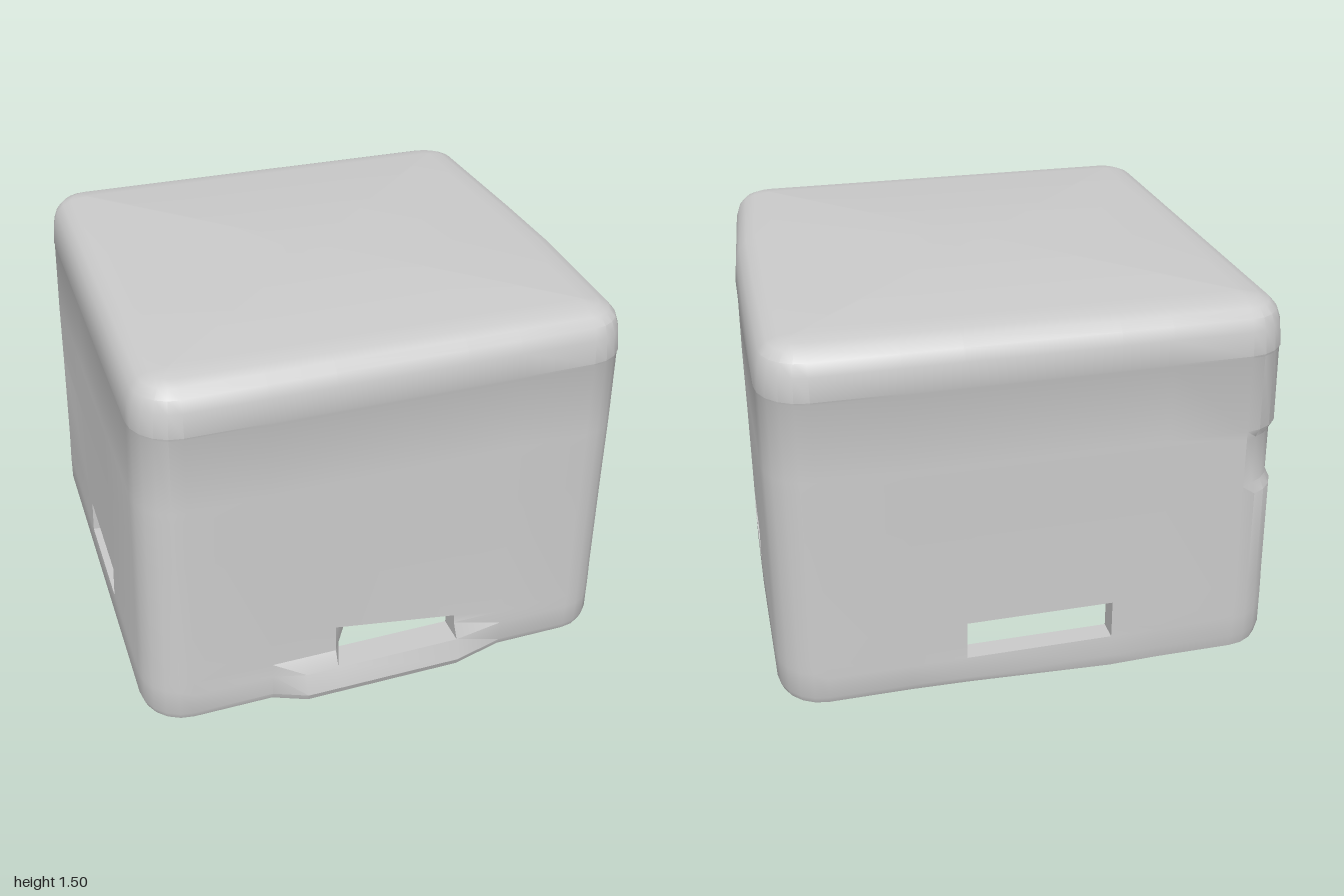
import * as THREE from 'three';
import { toCreasedNormals } from 'three/addons/utils/BufferGeometryUtils.js';

const HX = 0.995, HZ = 0.96, CZ = -0.025, R = 0.18; // half sizes, z centre, corner radius
const HOLE_TOP = 0.31, HOLE_MID = 0.21, HOLE_BOTTOM = 0.15;

// Wall columns per side, walking round the plan: front, right-hand, back, other side.
// s runs along the wall; hole is the column where the grip opening starts.
const SIDES = [
  { s: [-0.5, -0.37, -0.24, 0.28, 0.5], hole: 2, half: HX },
  { s: [-0.2 + CZ, 0.17 + CZ], hole: 0, half: HZ },
  { s: [-0.5, -0.28, 0.3, 0.5], hole: 1, half: HX },
  { s: [-0.2 - CZ, 0.28 - CZ], hole: 0, half: HZ },
];

// Profile [y, inset]: down the outside, round the rim, up the inside
const PROFILE = [
  [1.5, 0.17], [1.49, 0.1], [1.475, 0.06], [1.445, 0.03], [1.4, 0.014], [1.31, 0.004],
  [1.3, 0.008], [1.0, 0.004], [0.96, 0.004], [0.76, 0.004], [0.72, 0.004],
  [HOLE_TOP, 0.002], [HOLE_MID, 0], [HOLE_BOTTOM, 0], [0.06, 0], [0.03, 0.012],
  [0.025, 0.07], [HOLE_BOTTOM, 0.08], [HOLE_MID, 0.08], [HOLE_TOP, 0.08],
  [1.3, 0.085], [1.38, 0.105], [1.42, 0.17],
];
const OUT = 11, RIM = 16, IN = 17; // outer hole top, inner rim, inner hole bottom

// Plan columns with a fixed core point and an outward direction
function planColumns() {
  const cols = [];
  SIDES.forEach(({ s, hole, half }, side) => {
    const a = side * Math.PI / 2;
    const t = [Math.cos(a), -Math.sin(a)], n = [Math.sin(a), Math.cos(a)];
    const across = (half === HX ? HZ : HX) - R;
    const add = (along, turn, isHole = false) => cols.push({
      side, isHole, flat: turn === 0,
      x: t[0] * along + n[0] * across, z: t[1] * along + n[1] * across,
      nx: n[0] * Math.cos(turn) + t[0] * Math.sin(turn),
      nz: n[1] * Math.cos(turn) + t[1] * Math.sin(turn),
    });
    add(-(half - R), 0);
    s.forEach((v, k) => add(v, 0, k === hole));
    for (let k = 0; k <= 4; k++) add(half - R, k / 5 * Math.PI / 2);
  });
  return cols;
}

// Surface point, with the local changes of each wall
function wallPoint(col, [y, inset], row) {
  const outer = row < RIM;
  let d = R - inset;
  // shallow recess in one back corner
  if (outer && y > 0.75 && y < 0.97 && col.nx < -0.05 && col.nz < -0.05) d -= 0.02;
  const p = new THREE.Vector3(col.x + col.nx * d, y, CZ + col.z + col.nz * d);

  if (col.side === 0 && col.flat) {
    // protruding front bar below a sloping opening with one splayed end
    if (outer && y <= HOLE_BOTTOM && p.x > -0.4 && p.x < 0.4) p.z += y > 0.1 ? 0.035 : 0.055;
    if (y === HOLE_TOP && p.x > -0.3 && p.x < 0.55) p.y += p.x < 0 ? 0.015 : -0.065;
    if (!outer && col.isHole && row > RIM) p.x += y === HOLE_TOP ? 0.08 : 0.04;
  }
  if (col.side === 2 && outer && y < 0.1 && Math.abs(p.x) < 0.4) p.z -= 0.006;
  if (col.side % 2 === 1 && y === HOLE_BOTTOM) p.y += 0.02;

  // rim sags at one back corner; front and one side lean in; the other side narrows forward
  if (y < 0.05 && p.z < -0.7 && p.x < -0.2) p.y -= 0.025;
  const lean = y / 1.5;
  if (p.x < 0) p.x *= 1 - 0.045 * lean;
  else p.x *= 1 - 0.05 * THREE.MathUtils.smoothstep(p.z, 0, 0.9);
  if (p.z > 0) p.z *= 1 - 0.015 * lean;
  return p;
}

function shellGeometry() {
  const cols = planColumns(), n = cols.length, pos = [], index = [];
  PROFILE.forEach((pr, i) => cols.forEach(c => pos.push(...wallPoint(c, pr, i).toArray())));
  const id = (i, j) => i * n + (j % n);
  const quad = (a, b, c, d) => index.push(a, b, c, a, c, d);
  const holeRows = [OUT, OUT + 1, IN, IN + 1];

  for (let i = 0; i < PROFILE.length - 1; i++) {
    for (let j = 0; j < n; j++) {
      if (cols[j].isHole && holeRows.includes(i)) continue;
      quad(id(i, j), id(i + 1, j), id(i + 1, j + 1), id(i, j + 1));
    }
  }
  // thickness of each grip opening: walk its outline and join outside to inside
  const outline = [[0, 0], [0, 1], [1, 1], [2, 1], [2, 0], [1, 0]];
  cols.forEach((c, j) => {
    if (!c.isHole) return;
    const o = outline.map(([r, k]) => id(OUT + r, j + k));
    const q = outline.map(([r, k]) => id(IN + 2 - r, j + k));
    o.forEach((v, k) => {
      const m = (k + 1) % o.length;
      quad(v, q[k], q[m], o[m]);
    });
  });
  // flat top and inner ceiling
  const last = PROFILE.length - 1, top = pos.length / 3;
  pos.push(0, PROFILE[0][0], CZ, 0, PROFILE[last][0], CZ);
  for (let j = 0; j < n; j++) {
    index.push(top, id(0, j), id(0, j + 1));
    index.push(top + 1, id(last, j + 1), id(last, j));
  }
  const g = new THREE.BufferGeometry();
  g.setAttribute('position', new THREE.Float32BufferAttribute(pos, 3));
  g.setIndex(index);
  return toCreasedNormals(g, 0.5);
}

export function createModel() {
  const group = new THREE.Group();
  group.name = 'upturnedCrate';
  const shell = new THREE.Mesh(shellGeometry(), new THREE.MeshStandardMaterial({ color: 0xcccccc }));
  shell.name = 'hollowShellWithGrips';
  group.add(shell);
  return group;
}
